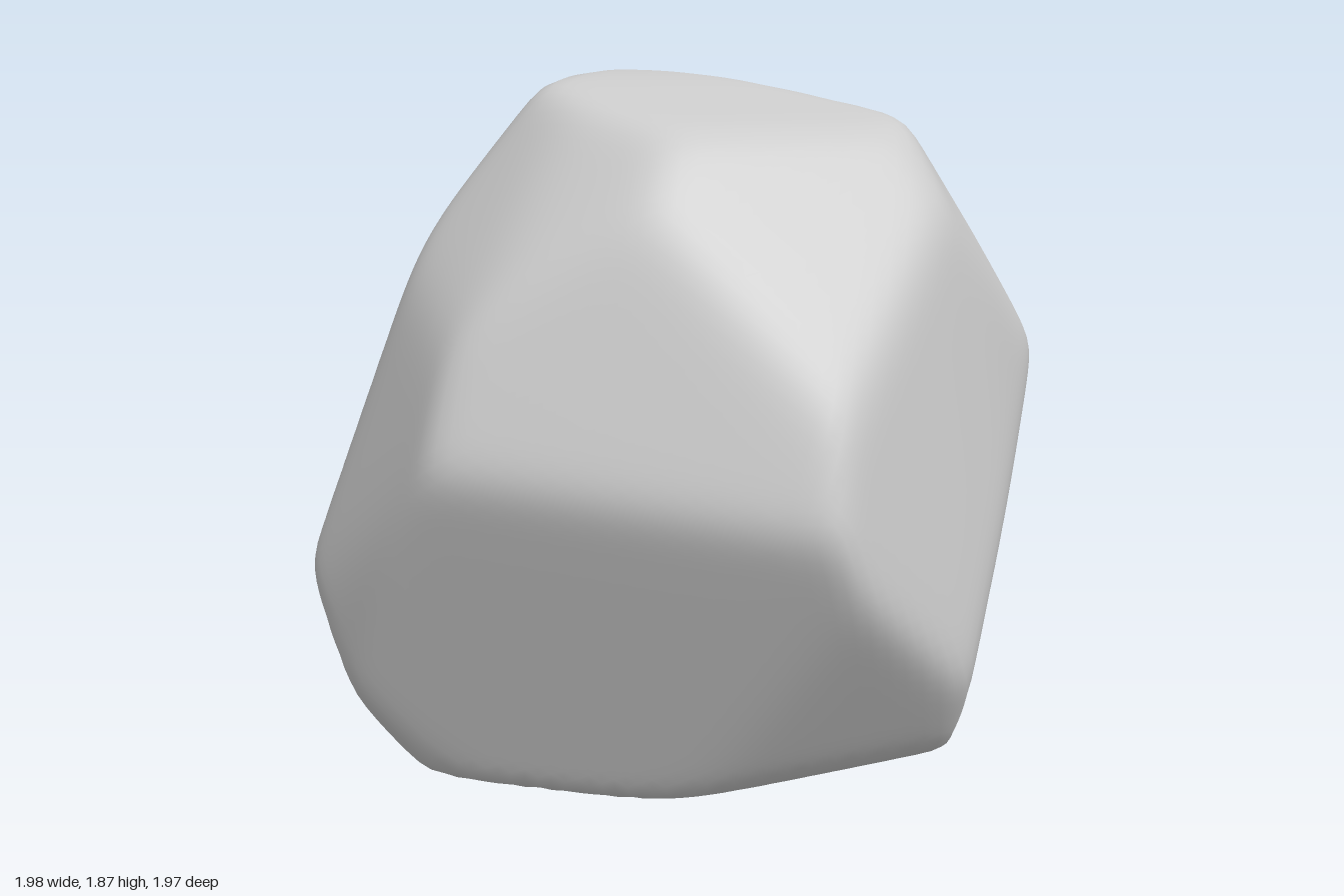
import * as THREE from 'three';
import { mergeVertices } from 'three/addons/utils/BufferGeometryUtils.js';

const CENTRE = new THREE.Vector3(0, 0.85, 0);
const SHARPNESS = 48; // higher gives crisper edges between facets
const EDGE_GAIN = 1.012; // makes up for what the blending rounds off

// Each facet of the boulder: outward normal x, y, z and distance from the centre
const FACETS = [
  // crown
  [0, 1, 0, 1.005],
  [0.2, 0.97, 0.12, 0.985],
  [-0.72, 0.59, 0.37, 0.79],
  [0.7, 0.55, 0.4, 0.975],
  [0.7, 0.5, -0.5, 0.99],
  [0.05, 0.78, -0.62, 0.86],
  [-0.55, 0.65, -0.5, 0.86],
  // front
  [-0.18, 0.6, 0.78, 0.9],
  [0.15, 0.65, 0.74, 0.96],
  [-0.35, 0.28, 0.9, 0.855],
  [-0.2, 0, 0.98, 0.95],
  [-0.72, 0.37, 0.58, 0.78],
  [0.46, -0.36, 0.81, 0.83],
  [0.54, 0.26, 0.8, 0.895],
  // sides
  [0.985, 0.12, -0.06, 0.935],
  [0.93, 0.15, -0.33, 0.955],
  [0.8, -0.2, -0.56, 0.915],
  [-0.91, 0.41, 0, 0.81],
  [-0.92, 0.2, -0.33, 0.845],
  [-0.8, 0.25, -0.55, 0.82],
  // back
  [0.1, 0.47, -0.88, 0.855],
  [-0.22, 0.2, -0.95, 0.85],
  // undercut and base
  [-0.66, -0.52, 0.55, 0.97],
  [-0.95, -0.3, 0.05, 1.015],
  [-0.25, -0.35, -0.9, 0.86],
  [-0.67, -0.52, -0.52, 0.905],
  [0.7, -0.55, 0.45, 0.955],
  [0.35, -0.9, 0.1, 0.95],
  [0, -0.65, 0.75, 1.09],
  [0, -1, 0.02, 0.834],
].map(([x, y, z, distance]) => ({
  normal: new THREE.Vector3(x, y, z).normalize(),
  distance,
}));

// Distance from the centre to the softly blended facets
function radius(dir) {
  let sum = 0;
  for (const { normal, distance } of FACETS) {
    const k = normal.dot(dir) / distance;
    if (k > 0) sum += k ** SHARPNESS;
  }
  return EDGE_GAIN * sum ** (-1 / SHARPNESS);
}

function boulderGeometry() {
  const ball = new THREE.IcosahedronGeometry(1, 30);
  ball.deleteAttribute('normal');
  ball.deleteAttribute('uv');
  const geometry = mergeVertices(ball, 1e-4);
  const pos = geometry.attributes.position;
  const v = new THREE.Vector3();
  for (let i = 0; i < pos.count; i++) {
    v.fromBufferAttribute(pos, i).normalize();
    v.multiplyScalar(radius(v)).add(CENTRE);
    pos.setXYZ(i, v.x, v.y, v.z);
  }
  geometry.computeVertexNormals();
  return geometry;
}

export function createModel() {
  const group = new THREE.Group();
  group.name = 'rock';
  const boulder = new THREE.Mesh(
    boulderGeometry(),
    new THREE.MeshStandardMaterial({ color: 0xcccccc })
  );
  boulder.name = 'boulder';
  group.add(boulder);
  return group;
}
